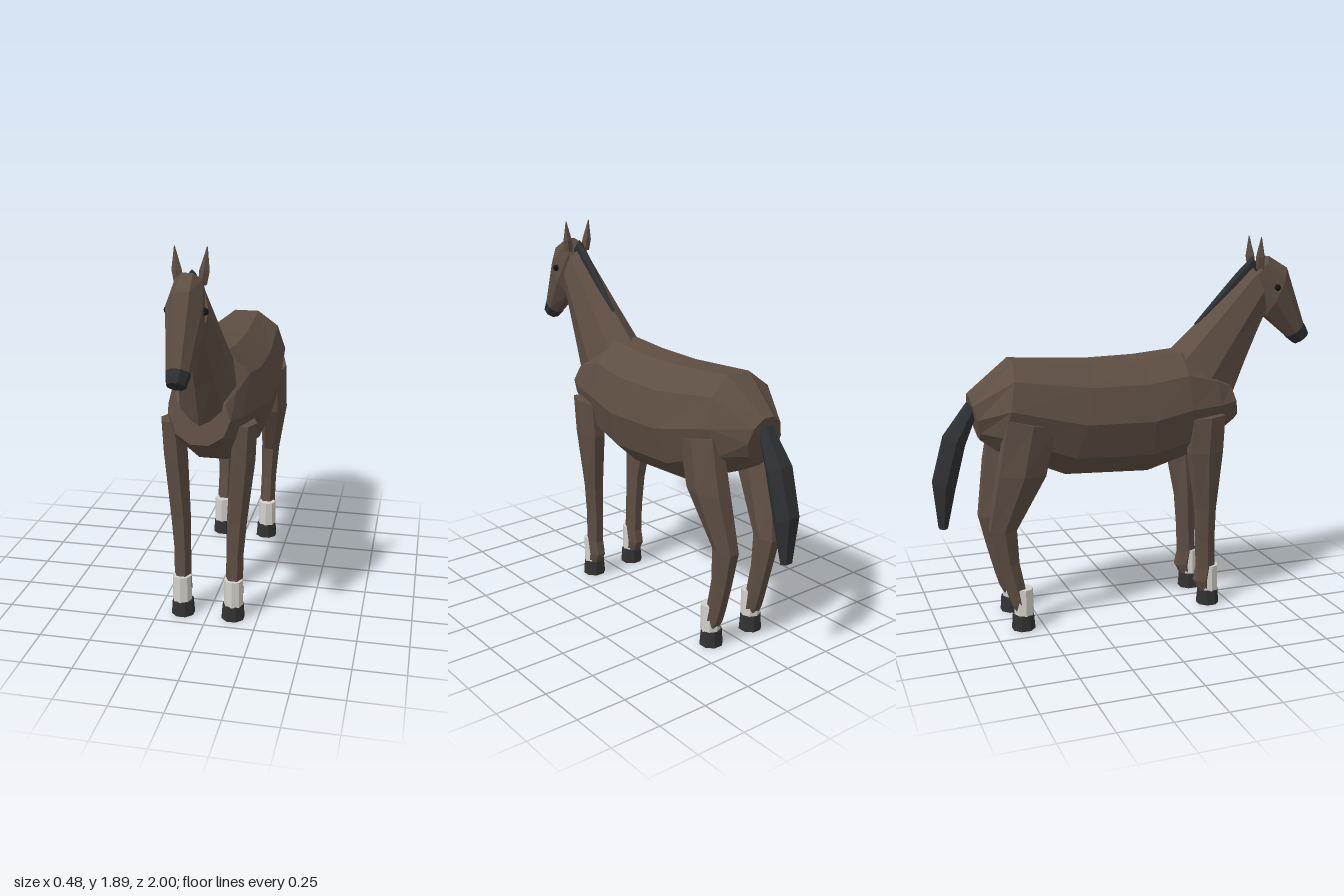
import * as THREE from 'three';

const mat = (name, color) => {
  const m = new THREE.MeshStandardMaterial({ color });
  m.name = name;
  return m;
};

// Faceted loft through rings [zTop, yTop, zBottom, yBottom, halfWidth, centreX].
// flat = true puts a flat facet, rather than a corner, at the top of each ring.
function loft(rings, sides, flat, side = 1) {
  const pos = [], index = [];
  const stretch = flat ? 1 / Math.cos(Math.PI / sides) : 1;
  for (const [zt, yt, zb, yb, rx, cx = 0] of rings) {
    for (let k = 0; k < sides; k++) {
      const a = ((k + (flat ? 0.5 : 0)) / sides) * Math.PI * 2;
      const c = Math.cos(a) * 0.5 * stretch;
      pos.push(cx * side + rx * Math.sin(a), (yt + yb) / 2 + (yt - yb) * c, (zt + zb) / 2 + (zt - zb) * c);
    }
  }
  const last = (rings.length - 1) * sides;
  for (let r = 0; r < last; r += sides) {
    for (let k = 0; k < sides; k++) {
      const n = (k + 1) % sides;
      index.push(r + k, r + sides + k, r + n, r + n, r + sides + k, r + sides + n);
    }
  }
  for (let k = 1; k < sides - 1; k++) {
    index.push(0, k, k + 1, last, last + k + 1, last + k);
  }
  // turn the faces outward whichever way the rings run
  const p = i => new THREE.Vector3().fromArray(pos, index[i] * 3);
  let volume = 0;
  for (let i = 0; i < index.length; i += 3) volume += p(i).dot(p(i + 1).cross(p(i + 2)));
  if (volume < 0) index.reverse();
  const indexed = new THREE.BufferGeometry();
  indexed.setAttribute('position', new THREE.Float32BufferAttribute(pos, 3));
  indexed.setIndex(index);
  const g = indexed.toNonIndexed();
  g.computeVertexNormals();
  return g;
}

function faceted(geometry) {
  const g = geometry.toNonIndexed();
  g.computeVertexNormals();
  return g;
}

export function createModel() {
  const horse = new THREE.Group();
  horse.name = 'horse';
  const coat = mat('brown coat', 0x5e4e43);
  const hair = mat('dark hair', 0x2d3033);
  const horn = mat('dark hoof', 0x323233);
  const white = mat('white sock', 0xd2d0ca);
  const black = mat('black eye', 0x161616);

  const add = (name, geometry, material) => {
    const mesh = new THREE.Mesh(geometry, material);
    mesh.name = name;
    horse.add(mesh);
    return mesh;
  };

  // Barrel of the body, chest to rump
  add('body', loft([
    [0.50, 1.19, 0.56, 0.96, 0.14],
    [0.42, 1.25, 0.44, 0.88, 0.18],
    [0.25, 1.33, 0.27, 0.79, 0.22],
    [0.04, 1.31, 0.07, 0.735, 0.24],
    [-0.22, 1.305, -0.36, 0.755, 0.24],
    [-0.61, 1.33, -0.70, 0.90, 0.21],
    [-0.82, 1.17, -0.77, 0.95, 0.10],
  ], 10, true), coat);

  // Neck
  add('neck', loft([
    [0.21, 1.33, 0.555, 1.05, 0.142],
    [0.40, 1.50, 0.64, 1.26, 0.115],
    [0.66, 1.745, 0.74, 1.49, 0.08],
  ], 8, false), coat);

  // Head and muzzle
  add('head', loft([
    [0.75, 1.79, 0.66, 1.68, 0.065],
    [0.85, 1.73, 0.735, 1.49, 0.086],
    [0.965, 1.435, 0.88, 1.37, 0.052],
  ], 8, true), coat);
  add('muzzle', loft([
    [0.967, 1.438, 0.875, 1.37, 0.054],
    [0.997, 1.385, 0.925, 1.332, 0.042],
  ], 8, true), hair);

  // Mane along the crest of the neck
  add('mane', loft([
    [0.70, 1.75, 0.70, 1.71, 0.012],
    [0.665, 1.79, 0.64, 1.70, 0.022],
    [0.58, 1.71, 0.58, 1.62, 0.02],
    [0.47, 1.592, 0.49, 1.53, 0.018],
    [0.35, 1.46, 0.37, 1.43, 0.01],
  ], 6, false), hair);

  // Tail
  add('tail', loft([
    [-0.82, 1.135, -0.78, 1.08, 0.04],
    [-0.94, 0.97, -0.845, 0.93, 0.07],
    [-1.00, 0.75, -0.90, 0.71, 0.062],
    [-0.98, 0.52, -0.94, 0.52, 0.036],
  ], 6, true), hair);

  const frontLeg = [
    [0.44, 1.02, 0.27, 1.01, 0.058, 0.175],
    [0.435, 0.83, 0.262, 0.83, 0.06, 0.165],
    [0.415, 0.52, 0.315, 0.52, 0.05, 0.14],
    [0.415, 0.35, 0.325, 0.35, 0.043, 0.132],
    [0.42, 0.20, 0.33, 0.20, 0.043, 0.13],
    [0.405, 0.13, 0.315, 0.13, 0.043, 0.13],
    [0.41, 0.07, 0.345, 0.07, 0.038, 0.13],
  ];
  const hindLeg = [
    [-0.44, 1.02, -0.67, 1.07, 0.062, 0.17],
    [-0.49, 0.79, -0.72, 0.80, 0.07, 0.162],
    [-0.63, 0.52, -0.76, 0.52, 0.05, 0.13],
    [-0.62, 0.35, -0.72, 0.35, 0.042, 0.126],
    [-0.59, 0.20, -0.68, 0.20, 0.042, 0.126],
    [-0.575, 0.13, -0.658, 0.13, 0.042, 0.128],
    [-0.58, 0.07, -0.625, 0.07, 0.036, 0.13],
  ];

  for (const side of [1, -1]) {
    const label = side > 0 ? 'left' : 'right';

    // Legs with socks and hooves
    for (const [end, rings, z] of [['Front', frontLeg, 0.392], ['Hind', hindLeg, -0.602]]) {
      add(`${label}${end}Leg`, loft(rings, 6, true, side), coat);
      const sock = faceted(new THREE.CylinderGeometry(0.047, 0.049, 0.135, 8));
      add(`${label}${end}Sock`, sock, white).position.set(0.13 * side, 0.1425, z + 0.004);
      const hoof = faceted(new THREE.CylinderGeometry(0.053, 0.059, 0.078, 8).rotateY(Math.PI / 8));
      add(`${label}${end}Hoof`, hoof, horn).position.set(0.127 * side, 0.039, z);
    }

    // Ears
    add(`${label}Ear`, loft([
      [0.71, 1.73, 0.665, 1.73, 0.02, 0.052],
      [0.707, 1.79, 0.66, 1.79, 0.024, 0.06],
      [0.682, 1.89, 0.678, 1.89, 0.002, 0.071],
    ], 5, false, side), coat);

    // Eyes
    const eye = faceted(new THREE.SphereGeometry(0.017, 8, 6));
    add(`${label}Eye`, eye, black).position.set(0.08 * side, 1.635, 0.775);
  }
  return horse;
}
